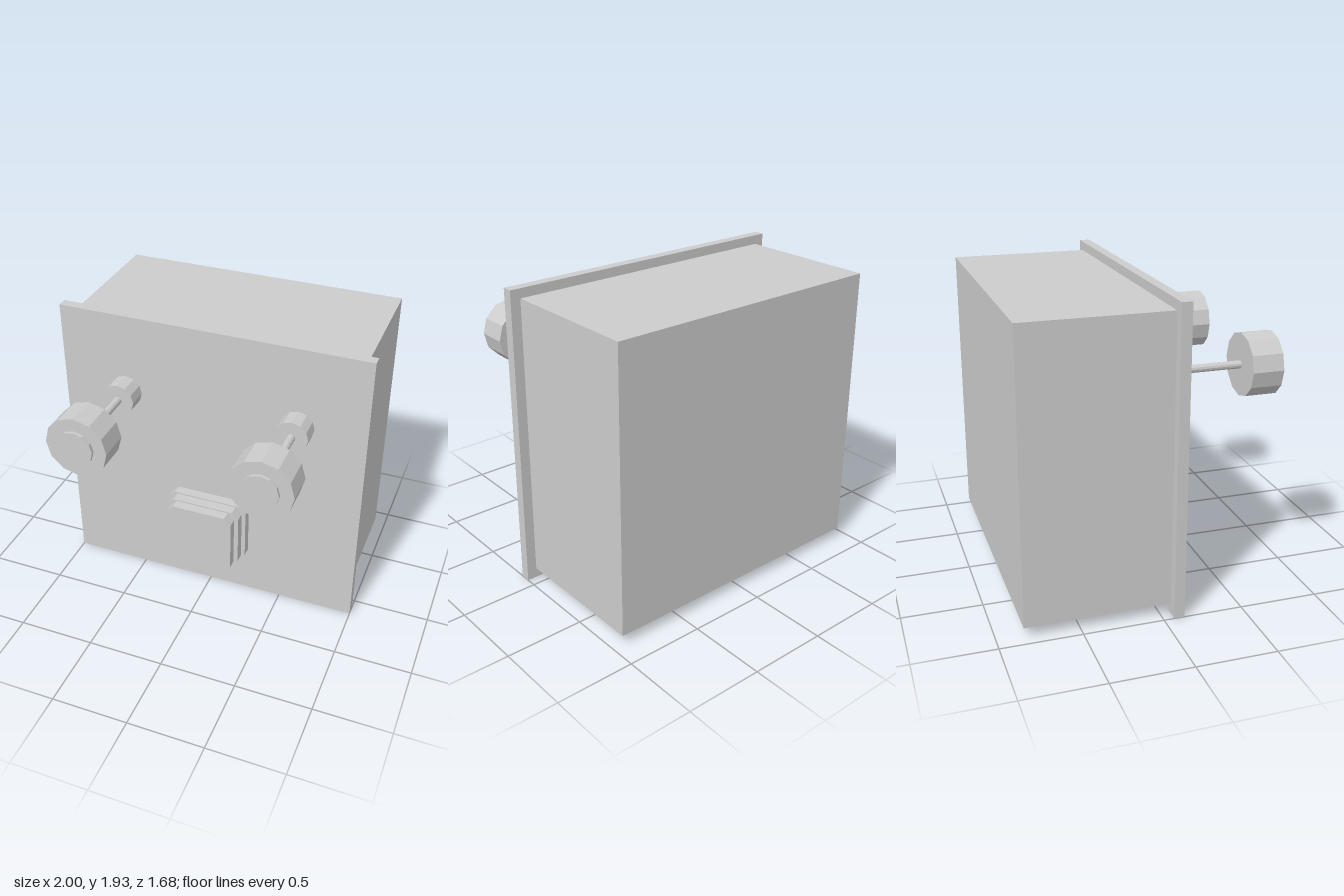
import * as THREE from 'three';

export function createModel() {
  const model = new THREE.Group();
  const grey = new THREE.MeshStandardMaterial({ color: 0xcccccc, flatShading: true });
  grey.name = 'light grey';

  const add = (name, geometry, parent = model) => {
    const mesh = new THREE.Mesh(geometry, grey);
    mesh.name = name;
    parent.add(mesh);
    return mesh;
  };

  // Box given by its limits on each axis
  const box = (name, [x0, x1], [y0, y1], [z0, z1]) =>
    add(name, new THREE.BoxGeometry(x1 - x0, y1 - y0, z1 - z0))
      .position.set((x0 + x1) / 2, (y0 + y1) / 2, (z0 + z1) / 2);

  // Cylinder lying along z
  const rodZ = (name, radius, z0, z1, sides, parent) => {
    const geometry = new THREE.CylinderGeometry(radius, radius, z1 - z0, sides);
    geometry.rotateX(Math.PI / 2);
    geometry.translate(0, 0, (z0 + z1) / 2);
    return add(name, geometry, parent);
  };

  // Cabinet and overhanging front panel
  box('cabinet', [-0.935, 0.935], [0.065, 1.875], [-0.84, 0.065]);
  box('frontPanel', [-1, 1], [0, 1.935], [0.065, 0.13]);

  // Pair of knobs on stems
  for (const side of [-1, 1]) {
    const knob = new THREE.Group();
    knob.name = side > 0 ? 'leftKnob' : 'rightKnob';
    knob.position.set(side * 0.568, 1.413, 0);
    rodZ('knobBase', 0.105, 0.137, 0.265, 12, knob);
    rodZ('knobStem', 0.025, 0.265, 0.622, 12, knob);
    rodZ('knobHead', 0.198, 0.622, 0.82, 12, knob);
    rodZ('knobCap', 0.115, 0.82, 0.84, 12, knob);
    model.add(knob);
  }

  // Stack of chamfered plates, narrower towards the front
  const plates = [[0.27, 0.137, 0.2], [0.247, 0.21, 0.275], [0.222, 0.285, 0.348]];
  for (const [w, z0, z1] of plates) {
    const h = 0.22, c = 0.045;
    const outline = new THREE.Shape([
      [-w + c, -h], [w - c, -h], [w, -h + c], [w, h - c],
      [w - c, h], [-w + c, h], [-w, h - c], [-w, -h + c],
    ].map(([x, y]) => new THREE.Vector2(x, y)));
    const geometry = new THREE.ExtrudeGeometry(outline, { depth: z1 - z0, bevelEnabled: false });
    add('stackedPlate', geometry).position.set(0, 0.52, z0);
  }

  // Rails and small pins under the cabinet
  for (const x of [-0.595, 0, 0.595]) {
    rodZ('bottomRail', 0.01, -0.765, -0.03, 8).position.set(x, 0.056, 0);
    const pin = new THREE.CylinderGeometry(0.01, 0.01, 0.04, 8);
    pin.rotateZ(Math.PI / 2);
    add('bottomPin', pin).position.set(x - 0.16, 0.047, -0.365);
  }

  return model;
}
